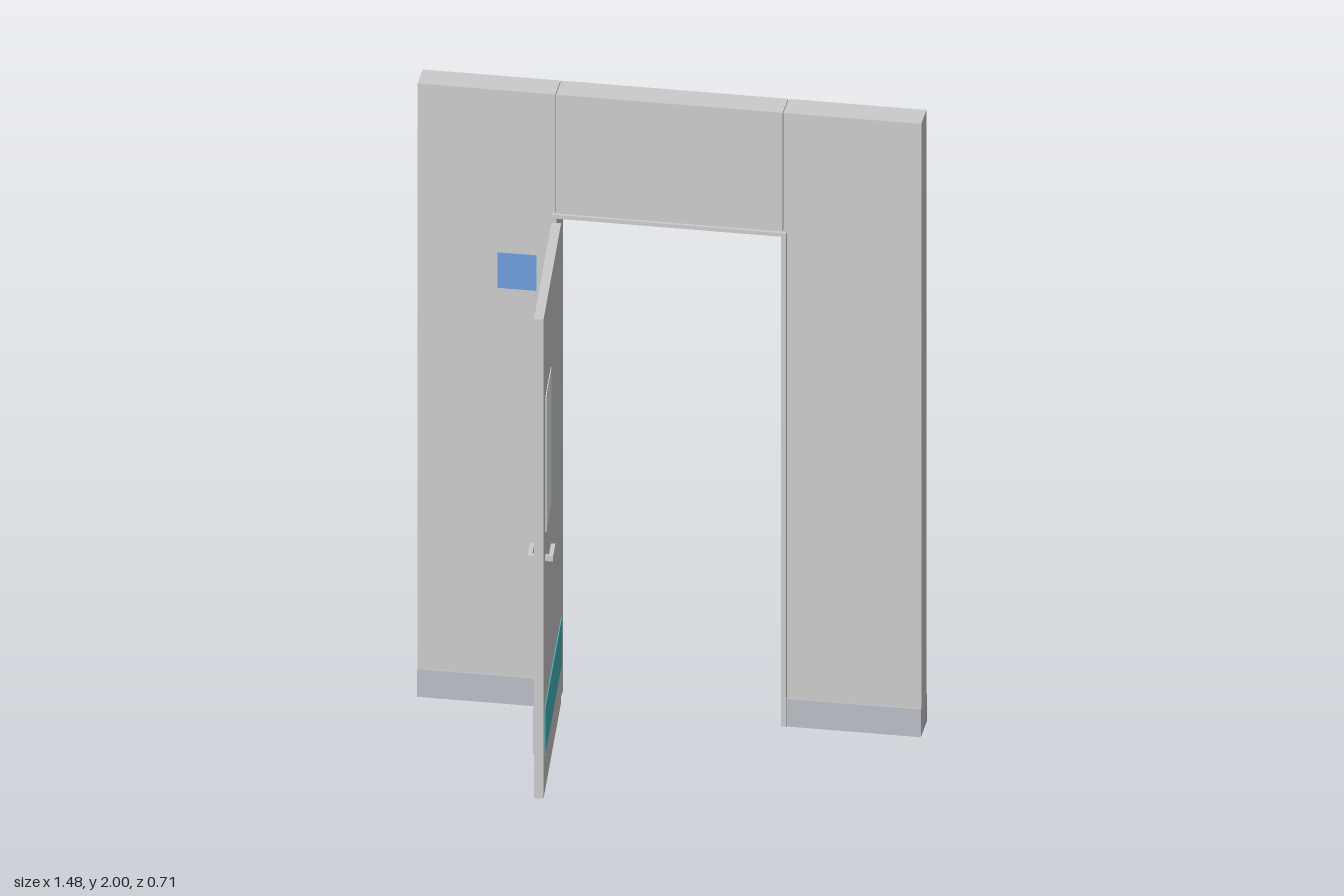
import * as THREE from 'three';

const material = (color) => new THREE.MeshStandardMaterial({ color });

export function createModel() {
  const model = new THREE.Group();
  model.name = 'openDoorInWall';
  const grey = material(0xcccccc);
  const skirtingGrey = material(0xb9bdc5);
  const blue = material(0x6e9ddc);
  const teal = material(0x48b8bd);
  const glass = material(0xe5eef2);

  // Box given by its lower and upper limits on each axis
  function box(parent, name, mat, [x0, x1], [y0, y1], [z0, z1]) {
    const mesh = new THREE.Mesh(new THREE.BoxGeometry(x1 - x0, y1 - y0, z1 - z0), mat);
    mesh.position.set((x0 + x1) / 2, (y0 + y1) / 2, (z0 + z1) / 2);
    mesh.name = name;
    parent.add(mesh);
    return mesh;
  }

  const wallZ = [-0.345, -0.256];
  const skirtingZ = [-0.351, -0.249];
  const frameZ = [-0.356, -0.246];

  // Wall panels, skirting and jambs on both sides of the opening
  for (const side of [-1, 1]) {
    const span = (a, b) => (side > 0 ? [a, b] : [-b, -a]);
    const label = side > 0 ? 'left' : 'right';
    box(model, label + 'WallPanel', grey, span(0.335, 0.74), [0.004, 2], wallZ);
    box(model, label + 'Skirting', skirtingGrey, span(0.335, 0.74), [0, 0.09], skirtingZ);
    box(model, label + 'Jamb', grey, span(0.33, 0.345), [0, 1.612], frameZ);
  }

  // Panel above the opening and head of the frame
  box(model, 'wallAboveDoor', grey, [-0.333, 0.333], [1.605, 2], wallZ);
  box(model, 'frameHead', grey, [-0.33, 0.33], [1.6, 1.612], frameZ);

  // Wall sign, on both faces
  box(model, 'wallSign', blue, [-0.505, -0.39], [1.355, 1.47], [-0.348, -0.253]);

  // Door leaf: local x runs from the hinge to the free edge
  const door = new THREE.Group();
  door.name = 'door';
  door.position.set(-0.331, 0, -0.25);
  door.rotation.y = THREE.MathUtils.degToRad(-85);
  model.add(door);
  box(door, 'doorLeaf', grey, [0.002, 0.606], [0.02, 1.585], [-0.014, 0.014]);
  box(door, 'doorWindow', glass, [0.36, 0.537], [0.855, 1.3], [-0.016, 0.016]);
  box(door, 'kickPlate', teal, [0.006, 0.58], [0.15, 0.3], [-0.017, 0.017]);

  // Lever handle on each face
  for (const side of [-1, 1]) {
    const span = (a, b) => (side > 0 ? [a, b] : [-b, -a]);
    box(door, 'handleNeck', grey, [0.536, 0.55], [0.767, 0.782], span(0.013, 0.028));
    box(door, 'handleLever', grey, [0.47, 0.55], [0.766, 0.783], span(0.024, 0.037));
  }

  return model;
}
